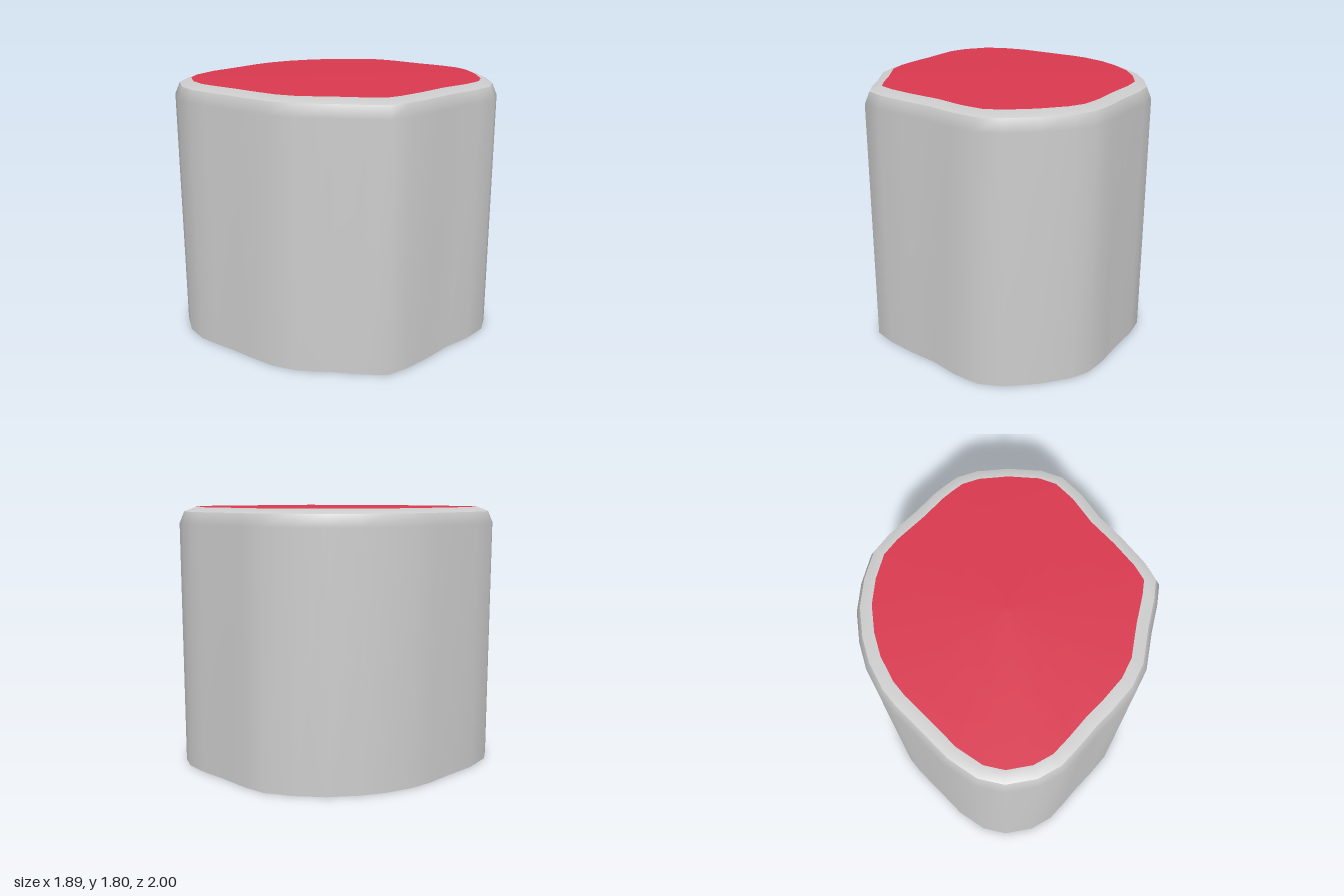
import * as THREE from 'three';

// Footprint as [x, z], starting at the back and running round by the left (+x) side
const OUTLINE = [
  [0.36, -1], [0.5, -0.95], [0.68, -0.83], [0.85, -0.67], [0.93, -0.53], [0.945, -0.34],
  [0.925, -0.13], [0.935, 0.08], [0.93, 0.29], [0.9, 0.45], [0.79, 0.55], [0.63, 0.67],
  [0.44, 0.83], [0.28, 0.9], [0.08, 0.935], [-0.06, 0.95], [-0.23, 0.98], [-0.38, 1],
  [-0.55, 0.97], [-0.73, 0.87], [-0.84, 0.73], [-0.905, 0.515], [-0.93, 0.24], [-0.95, 0.06],
  [-0.95, -0.08], [-0.91, -0.28], [-0.84, -0.45], [-0.73, -0.63], [-0.59, -0.775],
  [-0.42, -0.9], [-0.26, -0.94], [-0.02, -0.965], [0.16, -0.995], [0.25, -1],
];
const N = OUTLINE.length;

// Outline moved inwards by an even distance
function inset(distance) {
  const pts = OUTLINE.map(([x, z]) => new THREE.Vector2(x, z));
  return pts.map((p, i) => {
    const a = p.clone().sub(pts[(i + N - 1) % N]).normalize();
    const b = pts[(i + 1) % N].clone().sub(p).normalize();
    const out = new THREE.Vector2(a.y + b.y, -a.x - b.x).divideScalar(1 + a.dot(b));
    return p.clone().addScaledVector(out, -distance);
  });
}

// Smooth skin through rows of [inset, height]; optionally closed by a centre fan
function skin(rows, closed) {
  const positions = [], strip = [], fan = [];
  for (const [distance, y] of rows) {
    for (const p of inset(distance)) positions.push(p.x, y, p.y);
  }
  for (let r = 0; r < rows.length - 1; r++) {
    for (let i = 0; i < N; i++) {
      const a = r * N + i, b = r * N + (i + 1) % N;
      strip.push(a, a + N, b, b, a + N, b + N);
    }
  }
  if (closed) {
    const last = (rows.length - 1) * N, centre = rows.length * N;
    positions.push(0, rows[rows.length - 1][1], 0);
    for (let i = 0; i < N; i++) fan.push(centre, last + (i + 1) % N, last + i);
  }
  const geometry = new THREE.BufferGeometry();
  geometry.setAttribute('position', new THREE.Float32BufferAttribute(positions, 3));
  geometry.setIndex([...strip, ...fan]);
  geometry.computeVertexNormals();
  return { geometry, strip, fan };
}

export function createModel() {
  const group = new THREE.Group();
  const grey = new THREE.MeshStandardMaterial({ color: 0xcccccc, side: THREE.DoubleSide });
  const red = new THREE.MeshStandardMaterial({ color: 0xd8384e, side: THREE.DoubleSide });
  const add = (name, geometry, material) => {
    const mesh = new THREE.Mesh(geometry, material);
    mesh.name = name;
    group.add(mesh);
  };

  // Open-bottomed wall with a steep shoulder
  add('wall', skin([[0, 0], [0, 1.69], [0.033, 1.77]], false).geometry, grey);

  // Shallow rim and flat top share their normals, so they shade as one surface
  const top = skin([[0.033, 1.77], [0.112, 1.8]], true);
  const rim = top.geometry.clone().setIndex(top.strip);
  const cap = top.geometry.clone().setIndex(top.fan);
  add('rim', rim, grey);
  add('topPanel', cap, red);

  return group;
}
